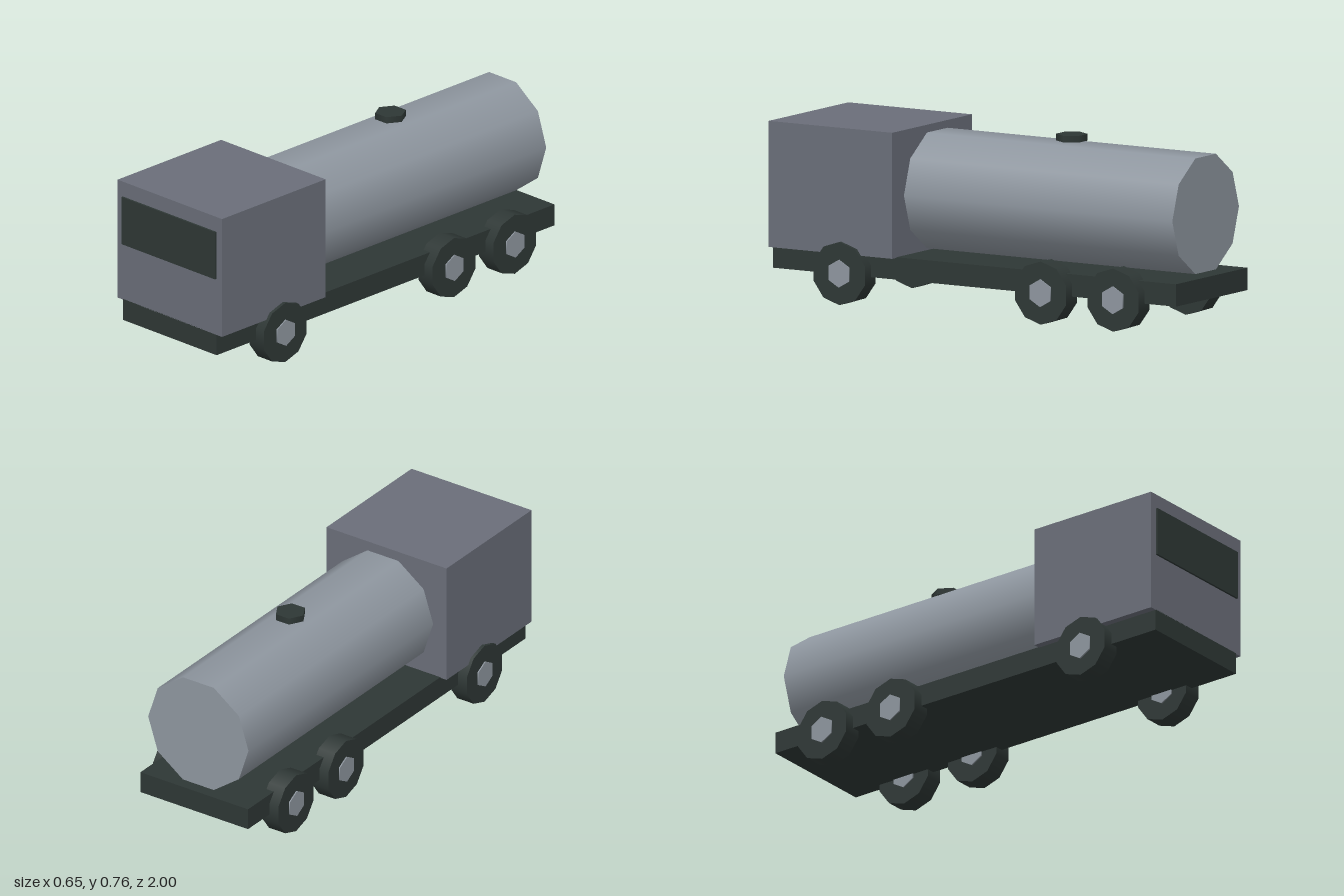
import * as THREE from 'three';

const flat = (name, color) => {
  const m = new THREE.MeshStandardMaterial({ color });
  m.name = name;
  return m;
};

export function createModel() {
  const truck = new THREE.Group();
  truck.name = 'tankerTruck';
  const cabGrey = flat('cabGrey', 0x6a6e79);
  const steel = flat('steel', 0x8e969f);
  const dark = flat('darkGrey', 0x2e3735);

  const add = (name, geometry, material, x, y, z, parent = truck) => {
    const mesh = new THREE.Mesh(geometry, material);
    mesh.name = name;
    mesh.position.set(x, y, z);
    parent.add(mesh);
    return mesh;
  };

  // Box given by its width and its y and z limits
  const box = (name, material, w, y0, y1, z0, z1) =>
    add(name, new THREE.BoxGeometry(w, y1 - y0, z1 - z0), material, 0, (y0 + y1) / 2, (z0 + z1) / 2);

  // Low-sided cylinder with a corner pointing along its local x
  const prism = (radius, length, sides) =>
    new THREE.CylinderGeometry(radius, radius, length, sides, 1, false, Math.PI / 2);

  // Chassis, cab and windscreen
  box('chassis', dark, 0.547, 0.122, 0.216, -1, 0.99);
  box('cab', cabGrey, 0.61, 0.213, 0.742, 0.38, 0.99);
  box('windscreen', dark, 0.547, 0.465, 0.676, 0.991, 1);

  // Tank with its hatch just above
  add('tank', prism(0.255, 1.325, 10).rotateX(Math.PI / 2), steel, 0, 0.474, -0.308);
  add('hatch', prism(0.066, 0.028, 6), dark, 0, 0.742, -0.31);

  // Three axles of wheels, mirrored left and right
  const tyre = prism(0.1325, 0.083, 10).rotateZ(Math.PI / 2);
  const hub = prism(0.0585, 0.094, 6).rotateZ(Math.PI / 2);
  for (const [axle, z] of [['front', 0.632], ['middle', -0.362], ['rear', -0.72]]) {
    for (const side of [1, -1]) {
      const wheel = new THREE.Group();
      wheel.name = axle + (side > 0 ? 'Left' : 'Right') + 'Wheel';
      wheel.position.set(side * 0.278, 0.1325, z);
      add('tyre', tyre, dark, 0, 0, 0, wheel);
      add('hub', hub, steel, 0, 0, 0, wheel);
      truck.add(wheel);
    }
  }
  return truck;
}
